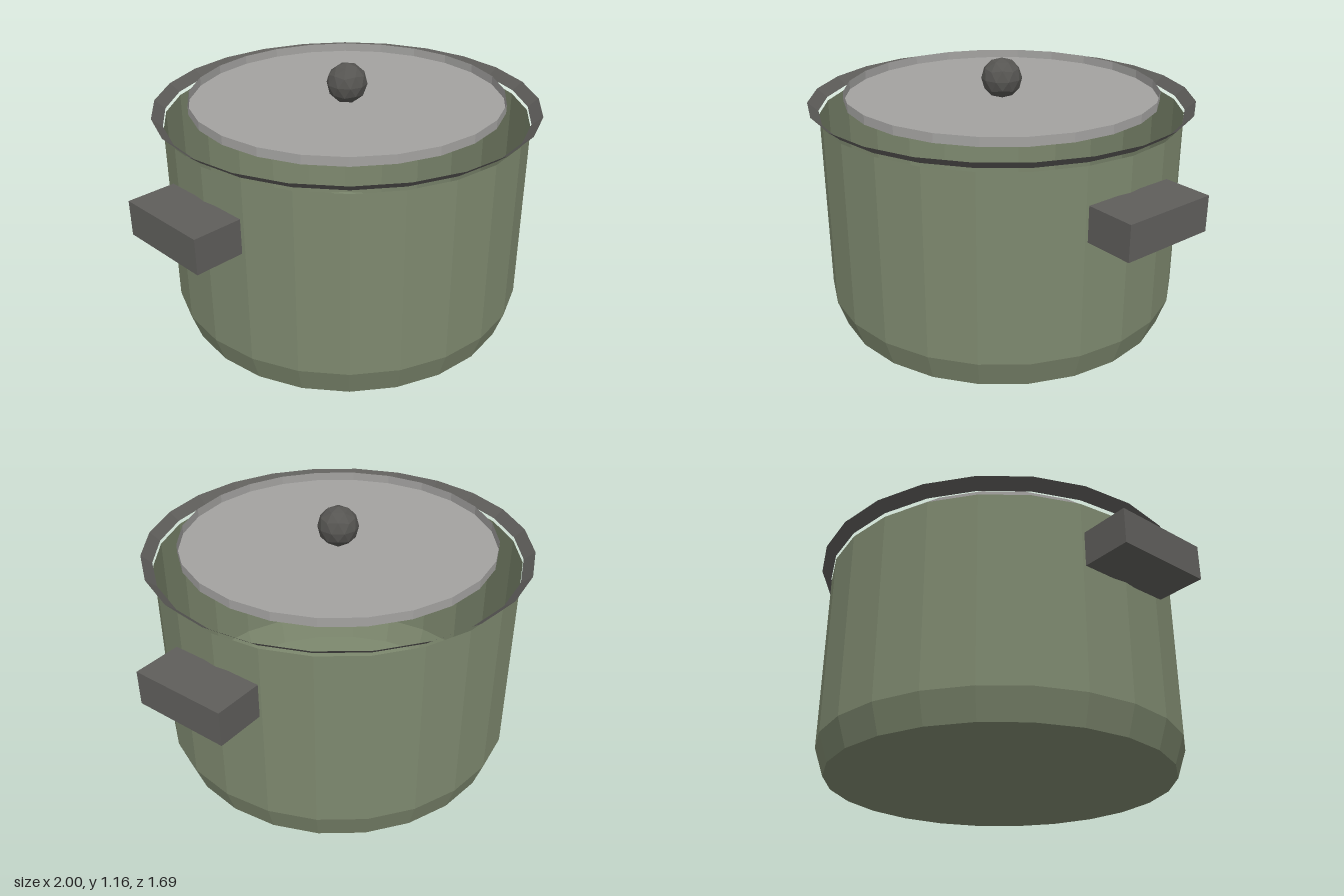
import * as THREE from 'three';

const SIDES = 24;

function material(name, color) {
  const m = new THREE.MeshStandardMaterial({ color, flatShading: true, side: THREE.DoubleSide });
  m.name = name;
  return m;
}

export function createModel() {
  const model = new THREE.Group();
  model.name = 'cookingPot';

  const green = material('sage green enamel', 0x7d886e);
  const steel = material('light grey steel', 0xa3a2a0);
  const dark = material('dark grey', 0x5f5e5b);
  const knobGrey = material('knob grey', 0x565552);

  function add(name, geometry, mat, x = 0, y = 0, z = 0) {
    const mesh = new THREE.Mesh(geometry, mat);
    mesh.name = name;
    mesh.position.set(x, y, z);
    model.add(mesh);
    return mesh;
  }

  // Thin surface of revolution from [radius, height] pairs
  const turned = (profile) =>
    new THREE.LatheGeometry(profile.map(([r, y]) => new THREE.Vector2(r, y)), SIDES);

  // Open pot with a closed floor and a bevelled foot
  add('potBody', turned([[0, 0], [0.757, 0], [0.798, 0.122], [0.798, 0.939]]), green);

  // Flared rim band just above the pot
  add('rim', turned([[0.8, 0.955], [0.845, 0.993]]), dark);

  // Shallow lid: a flat disc with a low upright edge
  add('lid', turned([[0, 0.995], [0.691, 0.995], [0.691, 1.034]]), steel);

  // Faceted knob, turned so that one corner points straight up
  const knob = new THREE.IcosahedronGeometry(0.09, 1);
  knob.rotateZ(-Math.atan(2 / (1 + Math.sqrt(5))));
  add('knob', knob, knobGrey, 0, 1.071, 0);

  // Side handles
  for (const [name, side] of [['leftHandle', 1], ['rightHandle', -1]]) {
    add(name, new THREE.BoxGeometry(0.21, 0.15, 0.424), dark, side * 0.895, 0.714, 0);
  }

  return model;
}
